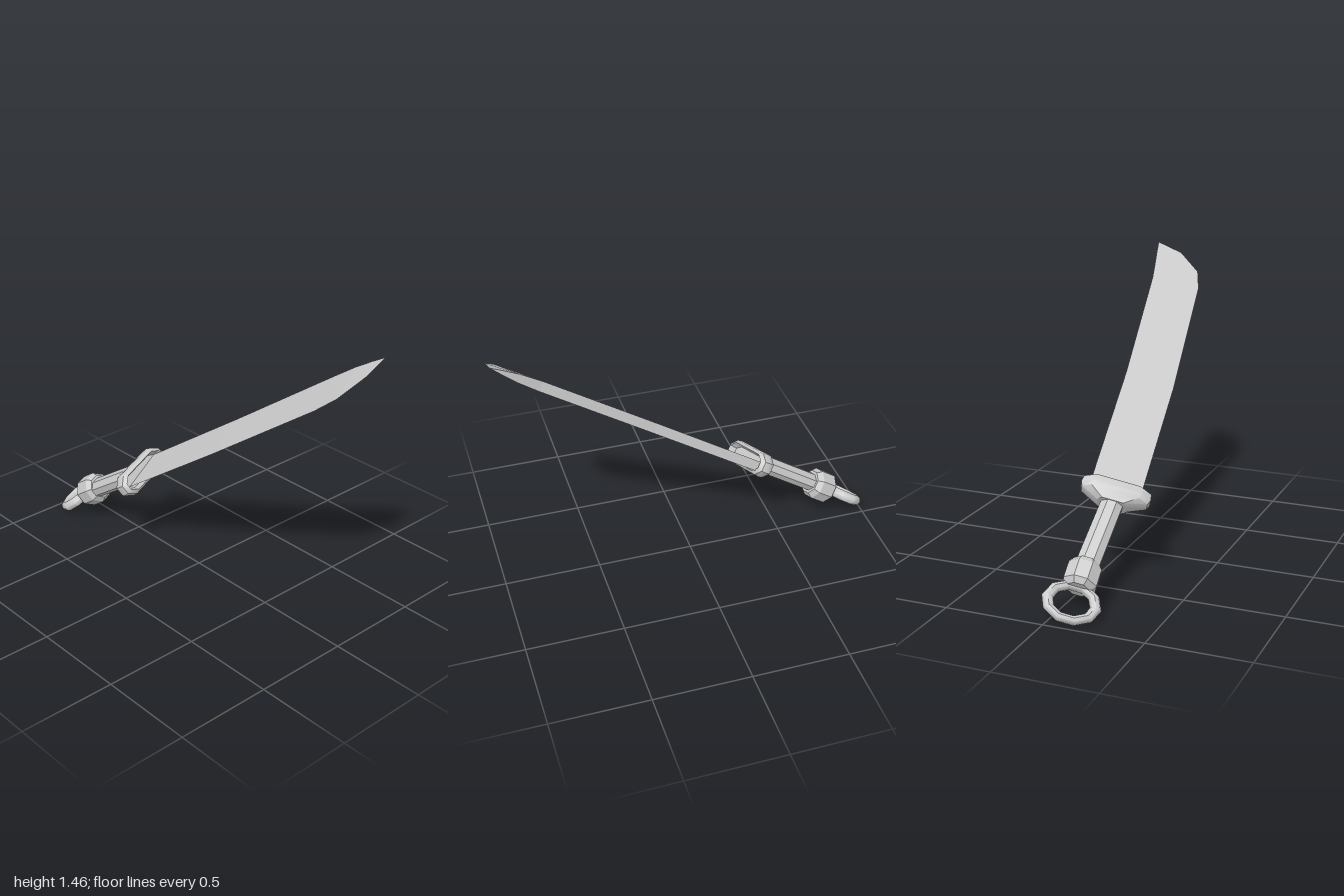
import * as THREE from 'three';
import { toCreasedNormals } from 'three/addons/utils/BufferGeometryUtils.js';

// Sword's own frame: x across the blade, y from pommel to tip, z through the thickness.

// Skin a list of equal-length rings (counter-clockwise about +y) and cap both ends.
function loft(rings) {
  const pos = [];
  const tri = (a, b, c) => {
    const area = b.clone().sub(a).cross(c.clone().sub(a)).length();
    if (area > 1e-9) pos.push(...a.toArray(), ...b.toArray(), ...c.toArray());
  };
  const n = rings[0].length, last = rings[rings.length - 1];
  for (let i = 0; i < rings.length - 1; i++) {
    for (let j = 0; j < n; j++) {
      const k = (j + 1) % n;
      tri(rings[i][j], rings[i][k], rings[i + 1][k]);
      tri(rings[i][j], rings[i + 1][k], rings[i + 1][j]);
    }
  }
  for (let j = 1; j < n - 1; j++) {
    tri(rings[0][0], rings[0][j + 1], rings[0][j]);
    tri(last[0], last[j], last[j + 1]);
  }
  const geo = new THREE.BufferGeometry();
  geo.setAttribute('position', new THREE.Float32BufferAttribute(pos, 3));
  geo.computeVertexNormals();
  return geo;
}

// Chamfered rectangle; ax and az say how far the straight sides reach.
function octagon(cx, y, hx, hz, ax = 0.41, az = 0.41) {
  return [[1, az], [ax, 1], [-ax, 1], [-1, az], [-1, -az], [-ax, -1], [ax, -1], [1, -az]]
    .map(([px, pz]) => new THREE.Vector3(cx + px * hx, y, -pz * hz));
}

export function createModel() {
  const model = new THREE.Group();
  model.name = 'sword';
  const flat = new THREE.MeshStandardMaterial({ color: 0xcccccc, flatShading: true });
  const smooth = new THREE.MeshStandardMaterial({ color: 0xcccccc });

  const sword = new THREE.Group();
  sword.name = 'swordParts';
  const add = (name, geo, mat) => {
    const mesh = new THREE.Mesh(geo, mat);
    mesh.name = name;
    sword.add(mesh);
    return mesh;
  };

  // Blade: wedge sections as edge x, edge y, spine x, spine y, spine thickness
  const sections = [
    [-0.121, 0.02, 0.133, 0.02, 0.052],
    [-0.116, 0.75, 0.142, 0.75, 0.052],
    [-0.083, 1.471, 0.175, 1.44, 0.05],
    [-0.05, 1.592, 0.191, 1.57, 0.04],
    [0.072, 1.7, 0.203, 1.66, 0.02],
    [0.211, 1.734, 0.211, 1.734, 0],
  ];
  const blade = add('blade', loft(sections.map(([ex, ey, sx, sy, t]) => [
    new THREE.Vector3(ex, ey, 0),
    new THREE.Vector3(sx, sy, t / 2),
    new THREE.Vector3(sx, sy, -t / 2),
  ])), flat);
  blade.position.z = 0.012;

  // Guard: flares out from the handle to a thick rim with a recessed front
  const guard = [
    [-0.055, 0.075, 0.05],
    [-0.008, 0.165, 0.06],
    [0.02, 0.175, 0.064],
    [0.052, 0.17, 0.06],
    [0.068, 0.148, 0.046],
    [0.03, 0.135, 0.034],
  ].map(([y, hx, hz]) => octagon(0, y, hx, hz, 0.72, 0.42));
  add('guard', toCreasedNormals(loft(guard), 0.65), smooth);

  // Handle: faceted grip leaning slightly with the curve of the blade
  add('handle', loft([
    octagon(0.022, -0.43, 0.056, 0.046),
    octagon(0, -0.04, 0.054, 0.046),
  ]), flat);

  // Collar: chamfered block at the end of the grip
  const collar = [[-0.545, 0.055], [-0.52, 0.079], [-0.43, 0.079], [-0.4, 0.06]]
    .map(([y, r]) => octagon(0.027, y, r, r));
  add('pommelCollar', loft(collar), flat);

  // Ring: wide oval loop behind the collar
  const ringGeo = new THREE.TorusGeometry(0.115, 0.028, 8, 10);
  ringGeo.scale(1, 0.78, 1);
  const ring = add('pommelRing', toCreasedNormals(ringGeo, 0.8), smooth);
  ring.position.set(0.036, -0.62, 0);

  // Lean the whole sword into its resting pose
  const along = new THREE.Vector3(0.06, 0.57, 0.82).normalize();
  const across = new THREE.Vector3(0.94, 0.23, -0.26);
  across.addScaledVector(along, -across.dot(along)).normalize();
  const through = new THREE.Vector3().crossVectors(across, along);
  sword.quaternion.setFromRotationMatrix(new THREE.Matrix4().makeBasis(across, along, through));
  sword.position.set(-0.095, 0.435, -0.38);
  model.add(sword);
  return model;
}
